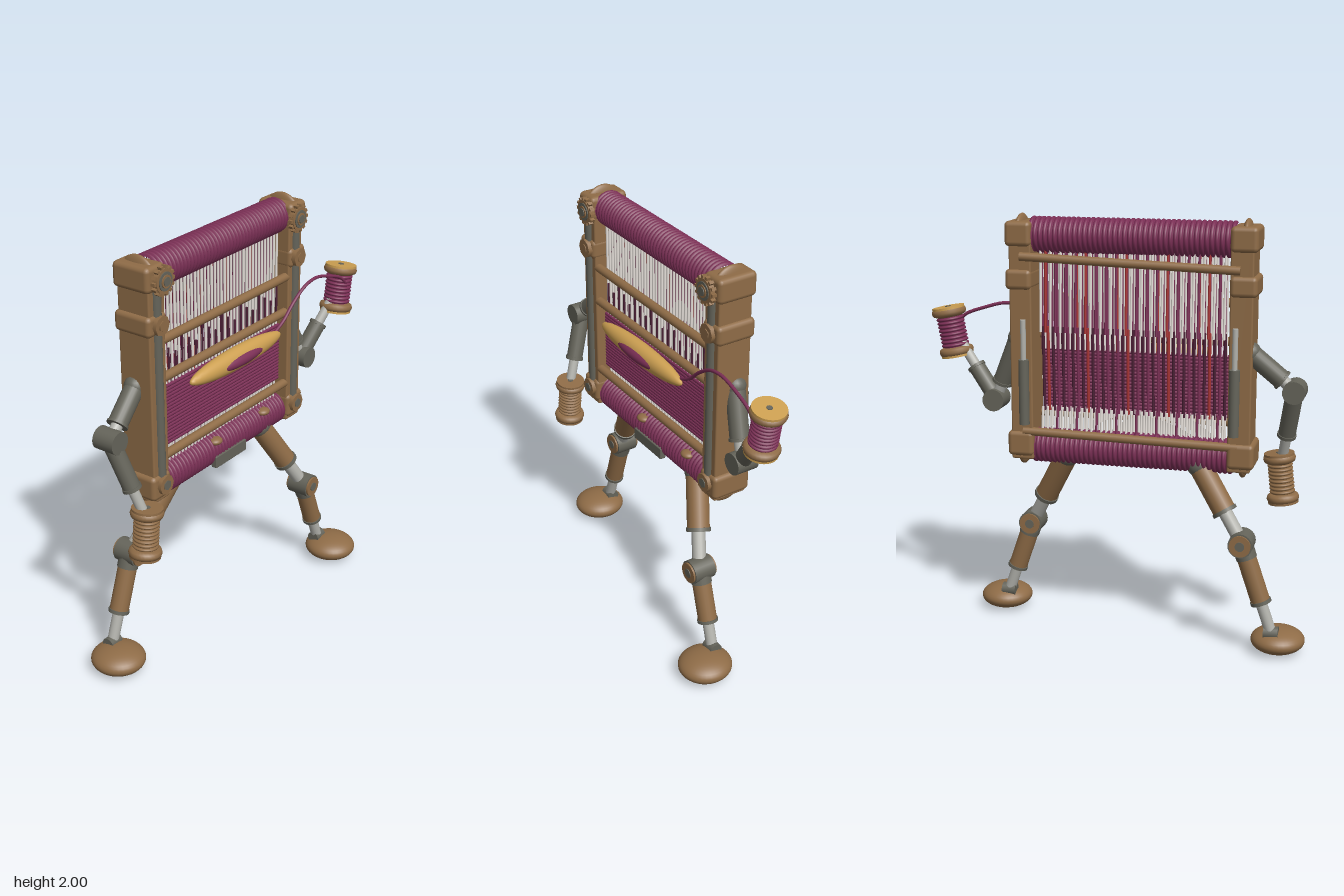
import * as THREE from 'three';
import { RoundedBoxGeometry } from 'three/addons/geometries/RoundedBoxGeometry.js';

const V = (x, y, z) => new THREE.Vector3(x, y, z);
const material = (name, color) => {
  const m = new THREE.MeshStandardMaterial({ color });
  m.name = name;
  return m;
};

export function createModel() {
  const wood = material('wood', 0x8f6c47);
  const paleWood = material('pale wood', 0xcda052);
  const iron = material('dark iron', 0x65645a);
  const steel = material('light steel', 0xb2b2ac);
  const yarn = material('plum yarn', 0x7c3056);
  const darkYarn = material('dark yarn', 0x4c2036);
  const red = material('red thread', 0xa83434);
  const white = material('white thread', 0xe6e0da);

  const model = new THREE.Group();
  model.name = 'walkingLoom';

  const add = (name, geo, mat, pos = V(0, 0, 0), parent = model) => {
    const m = new THREE.Mesh(geo, mat);
    m.name = name;
    m.position.copy(pos);
    parent.add(m);
    return m;
  };
  const group = (name, parent = model) => {
    const g = new THREE.Group();
    g.name = name;
    parent.add(g);
    return g;
  };
  // Cylinder running from a to b
  const bar = (name, a, b, r, mat, parent = model, sides = 20) => {
    const d = b.clone().sub(a);
    const m = add(name, new THREE.CylinderGeometry(r, r, d.length(), sides), mat, a.clone().add(b).multiplyScalar(0.5), parent);
    m.quaternion.setFromUnitVectors(V(0, 1, 0), d.normalize());
    return m;
  };
  const box = (name, x, y, z, w, h, d, mat, parent = model, r = 0.018) =>
    add(name, new RoundedBoxGeometry(w, h, d, 2, r), mat, V(x, y, z), parent);
  const ellipsoid = (name, pos, size, mat, parent = model) =>
    add(name, new THREE.SphereGeometry(1, 36, 20), mat, pos, parent).scale.copy(size);
  // Wound thread: a lathe with one rounded bump per turn
  const coil = (length, r, turns) => {
    const pts = [];
    for (let i = 0; i <= turns * 6; i++) {
      const bump = Math.abs(Math.sin((i / 6) * Math.PI));
      pts.push(new THREE.Vector2(r - 0.012 + 0.012 * Math.sqrt(bump), (i / (turns * 6) - 0.5) * length));
    }
    return new THREE.LatheGeometry(pts, 28);
  };

  const cx = -0.085, cz = -0.085;
  const left = -0.525, right = 0.355;

  // Side posts with collars, end discs, rails, bolts and ratchets
  for (const s of [-1, 1]) {
    const post = group(s < 0 ? 'rightPost' : 'leftPost');
    const x = cx + s * 0.51;
    box('upright', x, 1.41, cz, 0.105, 1.1, 0.17, wood, post, 0.008);
    for (const [y, h] of [[1.912, 0.115], [1.705, 0.095], [0.935, 0.12]])
      box('collar', cx + s * 0.518, y, cz, 0.125, h, 0.195, wood, post, 0.022);
    for (const y of [1.905, 0.915])
      ellipsoid('beamEndDisc', V(cx + s * 0.522, y, cz), V(0.026, 0.095, 0.095), wood, post);
    bar('frontRail', V(x, 0.95, -0.005), V(x, 1.87, -0.005), 0.024, iron, post, 16);
    for (const y of [1.705, 0.945]) {
      bar('bolt', V(x, y, 0), V(x, y, 0.03), 0.046, wood, post, 8);
      bar('boltHead', V(x, y, 0.028), V(x, y, 0.034), 0.024, y > 1 ? wood : iron, post, 6);
    }
    // Ratchet wheel
    const gx = cx + s * 0.493;
    const ratchet = group('ratchet', post);
    bar('wheel', V(gx, 1.9, 0.01), V(gx, 1.9, 0.036), 0.055, wood, ratchet, 24);
    for (let i = 0; i < 14; i++) {
      const a = (i / 14) * Math.PI * 2;
      const tooth = add('tooth', new THREE.BoxGeometry(0.018, 0.014, 0.022), wood,
        V(gx + 0.058 * Math.cos(a), 1.9 + 0.058 * Math.sin(a), 0.023), ratchet);
      tooth.rotation.z = a;
    }
    bar('washer', V(gx, 1.9, 0.03), V(gx, 1.9, 0.04), 0.042, iron, ratchet);
    bar('hubRing', V(gx, 1.9, 0.03), V(gx, 1.9, 0.044), 0.029, wood, ratchet);
    bar('hub', V(gx, 1.9, 0.03), V(gx, 1.9, 0.048), 0.021, iron, ratchet, 8);
    // Rear piston
    const px = cx + s * 0.49;
    bar('pistonBody', V(px, 1.035, -0.195), V(px, 1.34, -0.195), 0.024, iron, post);
    bar('pistonRod', V(px, 1.3, -0.195), V(px, 1.525, -0.195), 0.013, steel, post, 12);
    box('pistonMount', px, 1.05, -0.178, 0.03, 0.03, 0.03, iron, post, 0.005);
  }

  // Yarn rolls at top and bottom
  for (const [name, y] of [['topRoll', 1.905], ['bottomRoll', 0.915]])
    add(name, coil(0.95, 0.083, 41), yarn, V(cx, y, cz)).rotation.z = Math.PI / 2;

  // Cross rods: three in front, two slightly sloping ones behind
  for (const y of [1.612, 1.435, 1.06])
    bar('frontRod', V(-0.55, y, -0.02), V(0.38, y, -0.02), 0.021, wood);
  bar('upperBackRod', V(-0.59, 1.778, -0.18), V(0.42, 1.812, -0.18), 0.02, wood);
  bar('lowerBackRod', V(-0.59, 0.975, -0.162), V(0.42, 0.995, -0.162), 0.02, wood);

  // Warp threads: three sheets, one behind another, and short heddle threads
  const warp = group('warpThreads');
  const count = 37;
  const thread = (name, x, y0, z0, y1, z1, r, mat) =>
    bar(name, V(x, y0, z0), V(x, y1, z1), r, mat, warp, 12);
  for (let i = 0; i < count; i++) {
    const x = left + ((right - left) * (i + 0.5)) / count;
    const x2 = x + 0.005;
    const tint = i % 8 === 3 ? red : i % 2 ? yarn : white;
    thread('frontWarp', x, 1.37, -0.05, 1.89, -0.05, 0.006, white);
    thread('middleWarp', x2, 1.37, -0.075, 1.89, -0.075, 0.006, i % 8 === 5 ? red : yarn);
    thread('backWarp', x, 1.46, -0.125, 1.89, -0.105, 0.006, tint);
    thread('frontWarp', x, 0.95, -0.065, 1.1, -0.055, 0.006, white);
    thread('backWarp', x2, 0.95, -0.1, 1.1, -0.085, 0.006, i % 4 === 1 ? yarn : white);
    thread('clothBackWarp', x, 1.08, -0.072, 1.48, -0.085, 0.007, i % 8 === 3 ? red : i % 2 ? yarn : darkYarn);
    if (i % 2) thread('heddleThread', x2, 1.435, -0.035, 1.52 + 0.03 * (i % 3), -0.035, 0.005, darkYarn);
  }

  // Woven cloth built up in rows
  const cloth = group('cloth');
  for (let i = 0; i < 18; i++) {
    const y = 1.092 + i * 0.0163;
    bar('weftRow', V(left - 0.003, y, -0.045), V(right, y, -0.045), 0.0085, yarn, cloth, 8);
  }

  // Shuttle with yarn bulging through its middle
  ellipsoid('shuttle', V(cx, 1.378, 0.035), V(0.342, 0.053, 0.046), paleWood);
  ellipsoid('shuttleYarn', V(cx + 0.005, 1.378, 0.055), V(0.172, 0.032, 0.037), yarn);

  // Small clamps and the plate on the lower roll
  for (const x of [-0.165, 0.215])
    ellipsoid('rollClamp', V(x, 0.965, -0.03), V(0.036, 0.018, 0.032), wood);
  box('frontPlate', cx, 0.872, -0.012, 0.235, 0.058, 0.03, iron, model, 0.004);

  // Spools held as hands
  const spool = (name, pos, tilt, wound, r, capMat) => {
    const g = group(name);
    g.position.copy(pos);
    g.rotation.z = tilt;
    add('winding', coil(0.18, r - 0.017, 10), wound, V(0, 0, 0), g);
    const rim = [[0, -0.022], [0.75, -0.022], [0.94, -0.014], [1, 0], [0.94, 0.014], [0.75, 0.022], [0, 0.022]]
      .map(([a, b]) => new THREE.Vector2(a * r, b));
    for (const y of [-0.095, 0.095]) {
      add('flange', new THREE.LatheGeometry(rim, 28), wood, V(0, y, 0), g);
      const e = Math.sign(y);
      bar('flangeFace', V(0, y + e * 0.012, 0), V(0, y + e * 0.025, 0), r * 0.93, capMat, g, 28);
      bar('bore', V(0, y, 0), V(0, y + e * 0.028, 0), 0.014, iron, g, 12);
    }
  };
  spool('leftHandSpool', V(0.82, 1.423, -0.003), -0.18, yarn, 0.083, paleWood);
  spool('rightHandSpool', V(-0.766, 0.792, 0.045), -0.11, wood, 0.076, wood);

  // Loose yarn from shuttle to spool
  const path = new THREE.CatmullRomCurve3([V(0.22, 1.385, 0.025), V(0.3, 1.425, 0.025), V(0.38, 1.495, 0.028),
    V(0.47, 1.55, 0.032), V(0.56, 1.564, 0.034), V(0.67, 1.538, 0.036), V(0.77, 1.5, 0.042), V(0.81, 1.46, 0.05)]);
  add('looseYarn', new THREE.TubeGeometry(path, 48, 0.008, 8), yarn);

  // A telescoping segment: sleeve, thin end collar and inner rod
  const telescope = (a, b, share, r, rod, mat, parent) => {
    const at = (t) => a.clone().lerp(b, t);
    bar('sleeve', a, at(share), r, mat, parent);
    bar('sleeveCollar', at(share - 0.03), at(share + 0.01), r * 1.1, iron, parent);
    bar('innerRod', at(share - 0.05), b, rod, steel, parent, 16);
  };

  // Arms
  const arm = (name, shoulder, elbow, wrist, share) => {
    const g = group(name);
    add('shoulderBall', new THREE.SphereGeometry(0.05, 20, 14), iron, shoulder, g);
    telescope(shoulder, elbow, 0.72, 0.045, 0.027, iron, g);
    bar('elbow', elbow.clone().add(V(0, 0, -0.055)), elbow.clone().add(V(0, 0, 0.055)), 0.052, iron, g, 24);
    telescope(elbow, wrist, share, 0.04, 0.024, iron, g);
  };
  arm('leftArm', V(0.455, 1.425, -0.11), V(0.585, 1.12, -0.065), V(0.795, 1.4, -0.005), 0.52);
  arm('rightArm', V(-0.63, 1.405, -0.105), V(-0.832, 1.235, -0.08), V(-0.768, 0.88, 0.04), 0.64);

  // Legs with round pad feet
  const leg = (name, hip, knee, ankle, foot) => {
    const g = group(name);
    add('hipBall', new THREE.SphereGeometry(0.06, 20, 14), iron, hip, g);
    telescope(hip, knee, 0.61, 0.054, 0.033, wood, g);
    bar('knee', knee.clone().add(V(0, 0, -0.055)), knee.clone().add(V(0, 0, 0.055)), 0.057, iron, g, 24);
    for (const s of [-1, 1]) {
      bar('kneeCap', knee.clone().add(V(0, 0, s * 0.05)), knee.clone().add(V(0, 0, s * 0.064)), 0.05, wood, g, 24);
      bar('kneePin', knee.clone().add(V(0, 0, s * 0.05)), knee.clone().add(V(0, 0, s * 0.068)), 0.022, iron, g, 16);
    }
    const shin = (t) => knee.clone().lerp(ankle, t);
    bar('kneeCollar', knee, shin(0.17), 0.049, iron, g);
    telescope(shin(0.1), ankle, 0.62, 0.045, 0.027, wood, g);
    bar('ankle', ankle.clone().add(V(-0.034, 0, 0)), ankle.clone().add(V(0.034, 0, 0)), 0.032, iron, g, 16);
    ellipsoid('foot', foot, V(0.126, 0.06, 0.13), wood, g);
  };
  leg('leftLeg', V(0.235, 0.87, -0.07), V(0.45, 0.485, 0.055), V(0.582, 0.11, 0.065), V(0.617, 0.06, 0.128));
  leg('rightLeg', V(-0.405, 0.87, -0.1), V(-0.622, 0.535, -0.18), V(-0.768, 0.11, -0.185), V(-0.793, 0.06, -0.13));

  return model;
}
